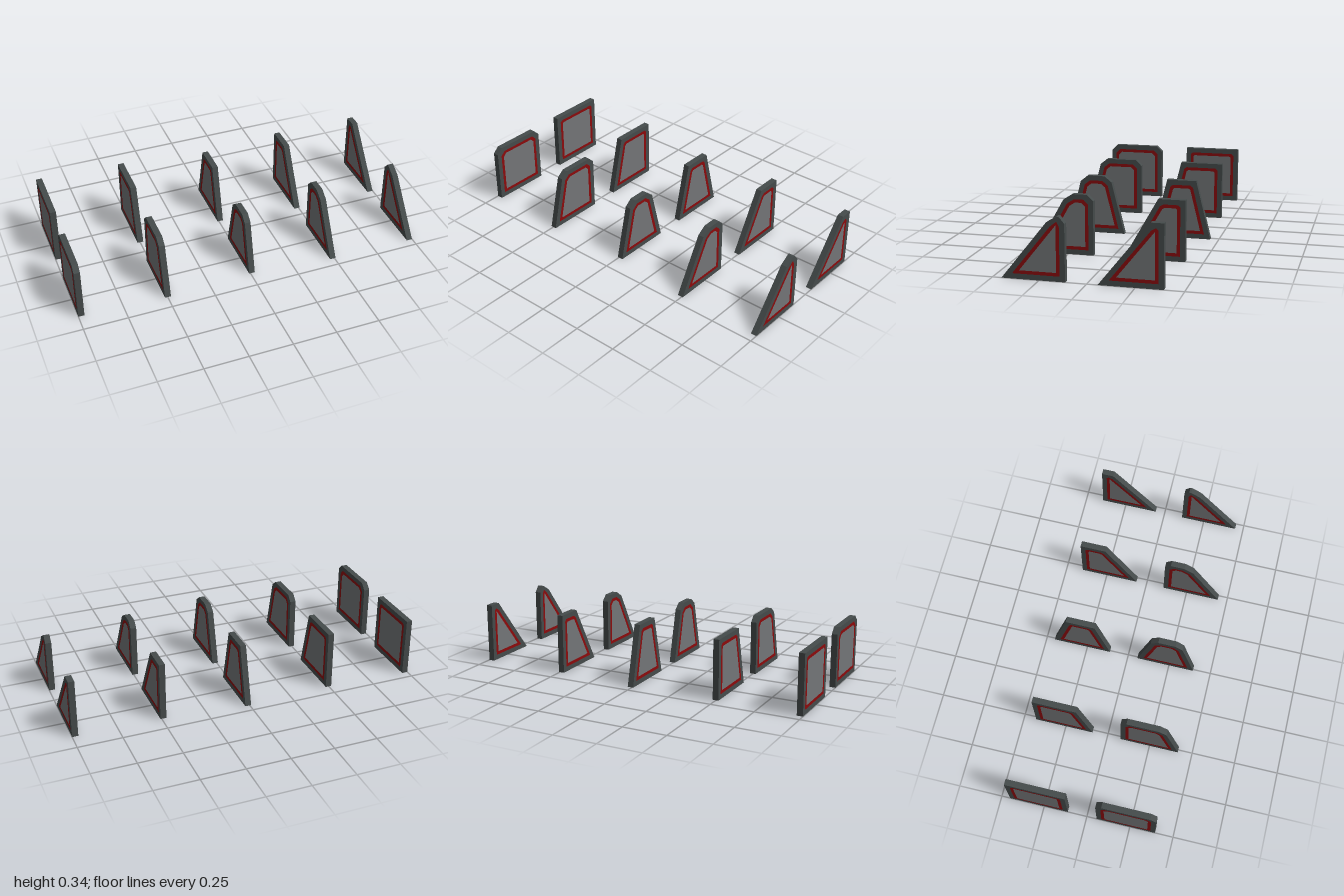
import * as THREE from 'three';

const H = 0.338, L = 0.339, T = 0.034; // panel height, length, thickness

const frameMat = new THREE.MeshStandardMaterial({ color: 0x454b4b });
frameMat.name = 'dark frame';
const trimMat = new THREE.MeshStandardMaterial({ color: 0x8b0a0c });
trimMat.name = 'red trim';
const glassMat = new THREE.MeshStandardMaterial({ color: 0x737577 });
glassMat.name = 'grey glass';

// Trapezoid outline inset by d, with optional cut top corners.
// frontRun and backRun say how far each side leans in over the full height.
function outline(frontRun, backRun, d, cut) {
  const kf = frontRun / H, kb = backRun / H;
  const front = (y) => L / 2 - kf * y - d * Math.hypot(1, kf);
  const back = (y) => -L / 2 + kb * y + d * Math.hypot(1, kb);
  const y0 = d, y1 = H - d;
  const c = Math.min(cut, (front(y1) - back(y1)) * 0.42);
  const pts = [[back(y0), y0], [front(y0), y0]];
  if (c > 0.001) {
    pts.push([front(y1 - cut), y1 - cut], [front(y1) - c, y1]);
    pts.push([back(y1) + c, y1], [back(y1 - cut), y1 - cut]);
  } else {
    pts.push([front(y1), y1], [back(y1), y1]);
  }
  return pts.map(([z, y]) => new THREE.Vector2(z, y));
}

// Extrudes an outline across the panel thickness, centred on x
function plate(name, points, hole, material) {
  const shape = new THREE.Shape(points);
  if (hole) shape.holes.push(new THREE.Path(hole));
  const geo = new THREE.ExtrudeGeometry(shape, { depth: T, bevelEnabled: false });
  geo.translate(0, 0, -T / 2).rotateY(-Math.PI / 2);
  const mesh = new THREE.Mesh(geo, material);
  mesh.name = name;
  return mesh;
}

function windowPanel(frontRun, backRun, cut) {
  const panel = new THREE.Group();
  const outer = outline(frontRun, backRun, 0, cut);
  const trim = outline(frontRun, backRun, 0.028, cut ? 0.026 : 0.012);
  const pane = outline(frontRun, backRun, 0.046, cut ? 0.02 : 0.008);
  panel.add(
    plate('frame', outer, trim, frameMat),
    plate('trim', trim, pane, trimMat),
    plate('glass', pane, null, glassMat)
  );
  return panel;
}

export function createModel() {
  const model = new THREE.Group();
  model.name = 'windowPanels';
  // x position, front edge z in the back row, front lean, back lean
  const columns = [
    ['square', -0.983, -0.112, 0, 0],
    ['slightSlope', -0.498, -0.09, 0.085, 0],
    ['doubleSlope', 0.009, -0.112, 0.085, 0.085],
    ['mediumSlope', 0.49, -0.063, 0.19, 0],
    ['steepSlope', 0.983, -0.057, 0.27, 0],
  ];
  for (const [name, x, z, frontRun, backRun] of columns) {
    // Sharp-cornered panels at the back, cut-cornered ones in front
    [['Sharp', 0, 0], ['CutCorner', 0.508, 0.034]].forEach(([kind, dz, cut]) => {
      const panel = windowPanel(frontRun, backRun, cut);
      panel.name = name + kind + 'Panel';
      panel.position.set(x, 0, z + dz - L / 2);
      model.add(panel);
    });
  }
  return model;
}
